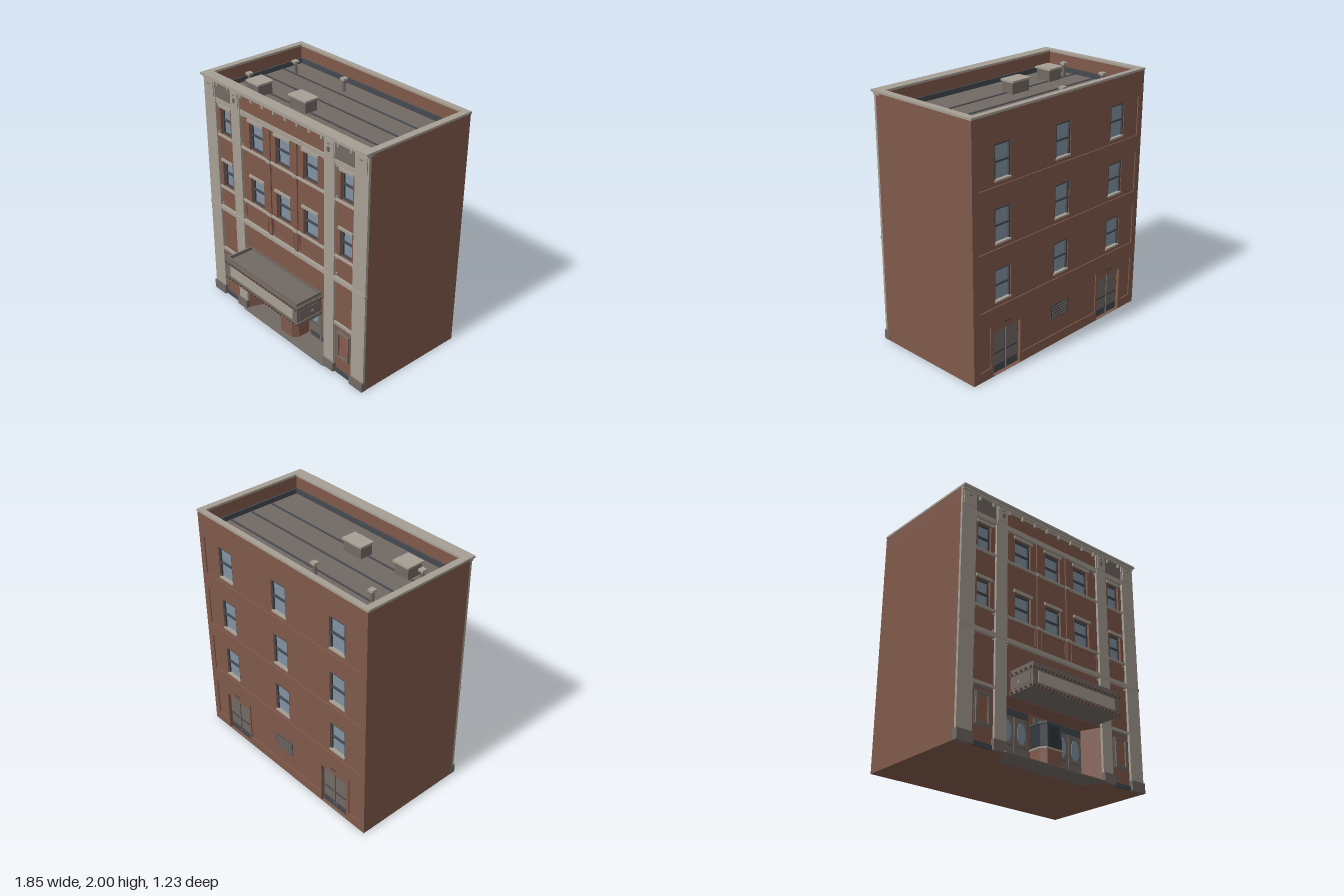
import * as THREE from 'three';

const mat = (name, color) => {
  const m = new THREE.MeshStandardMaterial({ color });
  m.name = name;
  return m;
};

export function createModel() {
  const brick = mat('brick', 0x80594b), stone = mat('stone', 0xa69f94), taupe = mat('taupe', 0x716963);
  const slate = mat('slate', 0x45494f), glass = mat('glass', 0x8092a0), darkGlass = mat('darkGlass', 0x33383e);
  const bulbRed = mat('bulb', 0x5a3d35), poster = mat('poster', 0x8a5a48);

  const model = new THREE.Group();
  model.name = 'theatreBuilding';

  // ---- helpers ----
  const add = (name, geo, m) => {
    const mesh = new THREE.Mesh(geo, m);
    mesh.name = name;
    model.add(mesh);
    return mesh;
  };
  const box = (name, m, x0, x1, y0, y1, z0, z1) => {
    const g = new THREE.BoxGeometry(Math.abs(x1 - x0), y1 - y0, Math.abs(z1 - z0));
    g.translate((x0 + x1) / 2, (y0 + y1) / 2, (z0 + z1) / 2);
    return add(name, g, m);
  };
  const both = (fn) => [-1, 1].forEach(fn);
  const rectPath = (P, [x0, x1, y0, y1]) => {
    const p = new P();
    p.moveTo(x0, y0); p.lineTo(x1, y0); p.lineTo(x1, y1); p.lineTo(x0, y1); p.closePath();
    return p;
  };
  const plate = (rect, holes, depth) => {
    const s = rectPath(THREE.Shape, rect);
    holes.forEach((h) => s.holes.push(rectPath(THREE.Path, h)));
    return new THREE.ExtrudeGeometry(s, { depth, bevelEnabled: false });
  };
  const wall = (name, m, rect, holes, z0, z1) => add(name, plate(rect, holes, z1 - z0).translate(0, 0, z0), m);
  const frame = (name, m, x0, x1, y0, y1, t, z0, z1) =>
    wall(name, m, [x0, x1, y0, y1], [[x0 + t, x1 - t, y0 + t, y1 - t]], z0, z1);
  // plan outline given as [x, z], raised from y0 to y1
  const plan = (name, m, pts, y0, y1) => {
    const s = new THREE.Shape(pts.map(([x, z]) => new THREE.Vector2(x, -z)));
    return add(name, new THREE.ExtrudeGeometry(s, { depth: y1 - y0, bevelEnabled: false }).rotateX(-Math.PI / 2).translate(0, y0, 0), m);
  };
  // horizontal ring; rectangles are x0, x1, z0, z1
  const ring = (name, m, o, i, y0, y1) => {
    const f = ([a, b, c, d]) => [a, b, -d, -c];
    return add(name, plate(f(o), [f(i)], y1 - y0).rotateX(-Math.PI / 2).translate(0, y0, 0), m);
  };

  // ---- main masses ----
  const F = 0.355;
  plan('groundStorey', brick, [[-0.92, F], [-0.48, F], [-0.42, 0.2], [0.42, 0.2], [0.48, F], [0.92, F], [0.92, -0.575], [-0.92, -0.575]], 0, 0.44);
  box('upperStoreys', brick, -0.92, 0.92, 0.44, 1.84, -0.575, 0.315);
  plan('entranceFloor', taupe, [[-0.42, 0.2], [-0.53, 0.37], [-0.5, 0.4], [0.5, 0.4], [0.53, 0.37], [0.42, 0.2]], 0, 0.007);

  // ---- sash windows, dir is the outward z ----
  const sash = (x, y0, y1, w, zBack, dir) => {
    const z = (d) => zBack + dir * d;
    const x0 = x - w / 2, x1 = x + w / 2, ym = (y0 + y1) / 2 + 0.005, t = 0.013;
    box('windowGlass', glass, x0, x1, y0, y1, z(0), z(0.006));
    const [a, b] = dir > 0 ? [z(0), z(0.02)] : [z(0.02), z(0)];
    frame('windowFrame', slate, x0, x1, y0, y1, t, a, b);
    box('meetingRail', slate, x0, x1, ym - 0.007, ym + 0.007, a, b);
  };

  // ---- front wall with window openings ----
  const frontWins = [];
  [[1.06, 1.29], [1.525, 1.755]].forEach(([y0, y1]) =>
    [[-0.69, 0.125], [-0.31, 0.16], [0, 0.16], [0.31, 0.16], [0.69, 0.125]].forEach(([x, w]) => frontWins.push([x, y0, y1, w])));
  const hole = ([x, y0, y1, w]) => [x - w / 2, x + w / 2, y0, y1];
  wall('frontWall', brick, [-0.92, 0.92, 0.44, 1.84], frontWins.map(hole), 0.315, F);
  frontWins.forEach(([x, y0, y1, w]) => {
    sash(x, y0, y1, w, 0.315, 1);
    box('windowHead', stone, x - w / 2 - 0.012, x + w / 2 + 0.012, y1, y1 + 0.022, F, F + 0.012);
  });

  // ---- pilasters, plinths, bays ----
  both((s) => {
    [[0.785, 0.92], [0.48, 0.587]].forEach(([a, b]) => {
      box('pilaster', stone, s * a, s * b, 0.08, 1.965, F, 0.375);
      box('pilasterCap', stone, s * (a + 0.012), s * (b - 0.012), 1.835, 1.955, 0.375, 0.382);
      box('capSlot', taupe, s * ((a + b) / 2 - 0.011), s * ((a + b) / 2 + 0.011), 1.925, 1.931, 0.382, 0.386);
    });
    box('outerPlinth', taupe, s * 0.78, s * 0.922, 0, 0.08, 0.34, 0.388);
    box('innerPlinth', taupe, s * 0.48, s * 0.6, 0, 0.08, 0.34, 0.388);
    box('capPendant', taupe, s * 0.52, s * 0.542, 1.87, 1.905, 0.38, 0.39);
    box('sideFriezePanel', taupe, s * 0.587, s * 0.785, 1.83, 1.965, F, 0.365);
    [0.62, 0.75].forEach((x) => box('friezeBracket', stone, s * (x - 0.008), s * (x + 0.008), 1.935, 1.965, 0.36, 0.38));
    box('bayBase', slate, s * 0.6, s * 0.78, 0, 0.035, F, 0.368);
    box('bayBand', stone, s * 0.587, s * 0.785, 0.452, 0.474, F, 0.372);
    box('bayTrim', taupe, s * 0.6, s * 0.772, 0.43, 0.45, F, 0.364);
    // display case
    box('posterBacking', taupe, s * 0.62, s * 0.757, 0.15, 0.405, F, 0.361);
    box('poster', poster, s * 0.65, s * 0.727, 0.185, 0.365, 0.361, 0.364);
    frame('posterFrame', taupe, s * 0.6885 - 0.062, s * 0.6885 + 0.062, 0.16, 0.395, 0.016, 0.361, 0.374);
    // brick strips between the centre windows
    box('brickStrip', brick, s * 0.135, s * 0.172, 0.88, 1.79, F, 0.366);
    [1.06, 1.52].forEach((y) => box('stripBlock', stone, s * 0.132, s * 0.175, y - 0.012, y + 0.009, 0.36, 0.378));
    frame('outerSpandrel', brick, s * 0.325 - 0.14, s * 0.325 + 0.14, 0.893, 1.043, 0.008, F, 0.362);
    // corner rosettes
    [[0.48, 0.587, -1], [0.587, 0.785, 1]].forEach(([a, b, k]) => [0.9, 1.035, 1.54, 1.775, 0.83].forEach((y) => {
      const xs = k < 0 ? [a - 0.014] : [a + 0.012, b - 0.012];
      xs.forEach((x) => box('rosette', stone, s * (x - 0.006), s * (x + 0.006), y - 0.006, y + 0.006, F, 0.362));
    }));
  });
  frame('centreSpandrel', brick, -0.125, 0.125, 0.893, 1.043, 0.008, F, 0.362);

  // ---- horizontal bands ----
  const bays = [[-0.785, -0.587], [-0.48, 0.48], [0.587, 0.785]];
  bays.forEach(([a, b]) => {
    box('upperSillBand', stone, a, b, 1.512, 1.526, F, 0.373);
    box('lowerSillBand', stone, a, b, 1.05, 1.064, F, 0.373);
    box('storeyBand', stone, a, b, 0.845, 0.88, F, 0.378);
    box('friezeBand', stone, a, b, 1.79, 1.83, F, 0.372);
  });
  box('storeyMoulding', stone, -0.922, 0.922, 0.852, 0.873, 0.36, 0.383);
  box('friezePanel', brick, -0.48, 0.48, 1.83, 1.95, F, 0.362);
  box('friezeHead', stone, -0.48, 0.48, 1.95, 1.968, F, 0.372);
  for (let i = 0; i < 8; i++) {
    const x = -0.455 + i * 0.13;
    box('friezeBracket', stone, x - 0.01, x + 0.01, 1.933, 1.965, 0.36, 0.382);
  }
  box('lowerCornice', stone, -0.92, 0.92, 1.965, 1.983, 0.32, 0.386);

  // ---- parapet and roof ----
  const inner = [-0.87, 0.87, -0.57, 0.31];
  ring('parapet', brick, [-0.92, 0.92, -0.61, F], inner, 1.84, 1.983);
  ring('coping', stone, [-0.925, 0.925, -0.613, 0.402], inner, 1.983, 2);
  box('roofDeck', taupe, -0.87, 0.87, 1.835, 1.845, -0.57, 0.31);
  ring('roofFlashing', slate, inner, [-0.855, 0.855, -0.555, 0.295], 1.845, 1.885);
  [-0.36, -0.165, 0.035].forEach((z) => box('roofSeam', slate, -0.855, 0.855, 1.845, 1.85, z - 0.008, z + 0.008));
  [[-0.6, 0.08, 0.155, 0.155], [-0.155, 0.02, 0.2, 0.13]].forEach(([x, z, w, d]) => {
    box('roofUnit', taupe, x - w / 2 + 0.01, x + w / 2 - 0.01, 1.845, 1.935, z - d / 2 + 0.01, z + d / 2 - 0.01);
    box('roofUnitLid', stone, x - w / 2, x + w / 2, 1.935, 1.95, z - d / 2, z + d / 2);
  });
  [[-0.71, -0.37], [-0.19, -0.42], [-0.755, 0.06]].forEach(([x, z]) => {
    add('ventPipe', new THREE.CylinderGeometry(0.014, 0.014, 0.1, 10).translate(x, 1.895, z), taupe);
    box('ventCap', stone, x - 0.022, x + 0.022, 1.94, 1.958, z - 0.022, z + 0.022);
  });

  // ---- marquee ----
  box('marqueeBody', taupe, -0.43, 0.43, 0.45, 0.615, 0.34, 0.595);
  box('marqueeLowerRail', taupe, -0.438, 0.438, 0.445, 0.472, 0.35, 0.602);
  box('marqueeUpperRail', taupe, -0.438, 0.438, 0.583, 0.61, 0.35, 0.602);
  ring('marqueeRim', taupe, [-0.425, 0.425, 0.35, 0.592], [-0.412, 0.412, 0.36, 0.58], 0.61, 0.64);
  box('marqueeSign', stone, -0.385, 0.385, 0.483, 0.572, 0.595, 0.6);
  both((s) => {
    box('marqueeSidePanel', taupe, s * 0.43, s * 0.434, 0.485, 0.57, 0.4, 0.57);
    box('marqueeSideLight', stone, s * 0.434, s * 0.437, 0.515, 0.53, 0.44, 0.455);
  });
  const bulb = (x, y, z) => add('marqueeBulb', new THREE.SphereGeometry(0.011, 8, 6).translate(x, y, z), bulbRed);
  [0.458, 0.596].forEach((y) => {
    for (let i = 0; i < 25; i++) bulb(-0.425 + (i * 0.85) / 24, y, 0.602);
    both((s) => { for (let i = 0; i < 5; i++) bulb(s * 0.438, y, 0.38 + i * 0.05); });
  });

  // ---- entrance doors ----
  both((s) => {
    box('doorSurround', slate, s * 0.13, s * 0.412, 0.007, 0.43, 0.2, 0.207);
    [0.203, 0.339].forEach((c) => {
      const x = s * c;
      box('doorLeaf', taupe, x - 0.065, x + 0.065, 0.012, 0.37, 0.207, 0.215);
      box('kickPlate', slate, x - 0.055, x + 0.055, 0.022, 0.065, 0.215, 0.218);
      box('doorRail', slate, x - 0.055, x + 0.055, 0.147, 0.151, 0.215, 0.218);
      const pane = new THREE.CylinderGeometry(1, 1, 0.006, 8).rotateY(Math.PI / 8).rotateX(Math.PI / 2);
      add('doorPane', pane.clone().scale(0.042, 0.085, 1).translate(x, 0.252, 0.217), glass);
    });
  });

  // ---- ticket booth ----
  const boothPlan = (r) => [[-r, 0.2], [-r, 0.305], [-r * 0.68, 0.32 + r * 0.3], [r * 0.68, 0.32 + r * 0.3], [r, 0.305], [r, 0.2]];
  plan('boothBase', brick, boothPlan(0.105), 0.007, 0.145);
  plan('boothCounter', stone, boothPlan(0.114), 0.145, 0.158);
  plan('boothGlass', darkGlass, boothPlan(0.1), 0.158, 0.33);
  plan('boothCornice', slate, boothPlan(0.114), 0.33, 0.355);
  box('boothSign', taupe, -0.07, 0.07, 0.37, 0.42, 0.2, 0.207);
  both((s) => box('boothPost', slate, s * 0.063, s * 0.07, 0.158, 0.33, 0.345, 0.353));

  // ---- rear wall with sunk panels, windows and doors ----
  const rearWins = [];
  [[1.5, 1.77], [1.035, 1.305], [0.585, 0.845]].forEach(([y0, y1]) => [-0.62, 0, 0.62].forEach((x) => rearWins.push([x, y0, y1, 0.16])));
  const rearDoors = [-0.585, 0.585].map((x) => [x - 0.14, x + 0.14, 0.003, 0.365]);
  const panels = [[1.47, 1.79], [1.005, 1.335], [0.555, 0.885]].map(([a, b]) => [-0.865, 0.865, a, b]);
  panels.push([-0.865, -0.75, 0.08, 0.42], [-0.425, 0.425, 0.08, 0.42], [0.75, 0.865, 0.08, 0.42]);
  wall('rearWall', brick, [-0.92, 0.92, 0, 1.84], [...rearWins.map(hole), ...rearDoors], -0.601, -0.575);
  wall('rearPanelling', brick, [-0.92, 0.92, 0, 1.84], [...panels, ...rearDoors], -0.61, -0.601);
  rearWins.forEach(([x, y0, y1, w]) => {
    sash(x, y0, y1, w, -0.575, -1);
    box('rearSill', stone, x - w / 2, x + w / 2, y0, y0 + 0.014, -0.608, -0.575);
  });
  both((s) => {
    const x = s * 0.585;
    box('rearDoorFrame', slate, x - 0.14, x + 0.14, 0.003, 0.365, -0.583, -0.575);
    both((k) => {
      const c = x + k * 0.066;
      box('rearDoorLeaf', taupe, c - 0.06, c + 0.06, 0.01, 0.35, -0.591, -0.583);
      box('rearKickPlate', slate, c - 0.055, c + 0.055, 0.015, 0.075, -0.594, -0.591);
      box('rearDoorRail', slate, c - 0.055, c + 0.055, 0.165, 0.18, -0.594, -0.591);
    });
    box('rearDoorLamp', slate, x - 0.03, x + 0.03, 0.405, 0.42, -0.613, -0.605);
  });
  box('ventBacking', slate, -0.1, 0.1, 0.215, 0.335, -0.604, -0.6);
  for (let i = 0; i < 5; i++) box('ventSlat', taupe, -0.09, 0.09, 0.226 + i * 0.022, 0.235 + i * 0.022, -0.608, -0.603);

  return model;
}
